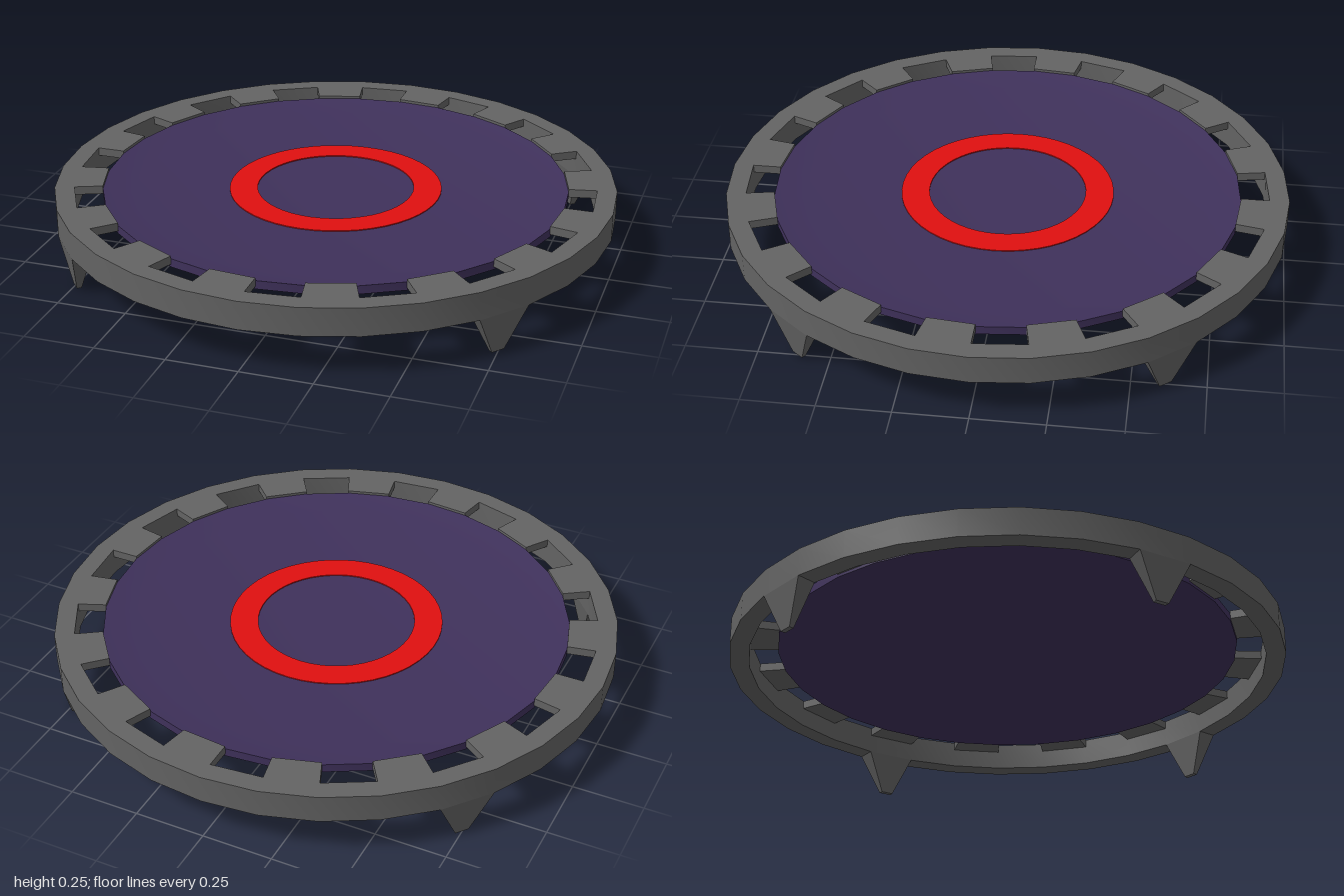
import * as THREE from 'three';
import { toCreasedNormals } from 'three/addons/utils/BufferGeometryUtils.js';

const SIDES = 32;
const STEP = (Math.PI * 2) / SIDES;
const R_MAT = 0.83, R_IN = 0.93, R_OUT = 1;
const Y_BOTTOM = 0.15, Y_TOP = 0.25;

const frameMat = new THREE.MeshStandardMaterial({ color: 0x636363 });
const purpleMat = new THREE.MeshStandardMaterial({ color: 0x3f315b });
const redMat = new THREE.MeshStandardMaterial({ color: 0xe01010 });

// Revolve an [r, y] profile, keeping hard edges sharp
function lathe(name, profile, material, sides = SIDES) {
  const points = profile.map(([r, y]) => new THREE.Vector2(r, y));
  const mesh = new THREE.Mesh(toCreasedNormals(new THREE.LatheGeometry(points, sides), 0.5), material);
  mesh.name = name;
  return mesh;
}

// Block filling one side of the ring; its lower face shrinks about its centre by `taper`
function sectorBlock(name, index, rIn, rOut, y0, y1, taper = 1) {
  const geo = new THREE.BoxGeometry(1, 1, 1);
  const pos = geo.attributes.position;
  const mid = (index + 0.5) * STEP;
  const rMid = ((rIn + rOut) / 2) * Math.cos(STEP / 2);
  const cx = rMid * Math.cos(mid), cz = rMid * Math.sin(mid);
  for (let i = 0; i < pos.count; i++) {
    const r = pos.getX(i) > 0 ? rOut : rIn;
    const a = (index + (pos.getZ(i) > 0 ? 1 : 0)) * STEP;
    const low = pos.getY(i) < 0;
    const s = low ? taper : 1;
    pos.setXYZ(i, cx + (r * Math.cos(a) - cx) * s, low ? y0 : y1, cz + (r * Math.sin(a) - cz) * s);
  }
  const flat = geo.toNonIndexed();
  flat.computeVertexNormals();
  const mesh = new THREE.Mesh(flat, frameMat);
  mesh.name = name;
  return mesh;
}

export function createModel() {
  const model = new THREE.Group();
  model.name = 'trampoline';

  // Outer frame ring
  model.add(lathe('frameRing', [
    [R_IN, Y_BOTTOM], [R_OUT, Y_BOTTOM], [R_OUT, Y_TOP], [R_IN, Y_TOP], [R_IN, Y_BOTTOM],
  ], frameMat));

  // Straps joining the mat to the frame, on every other side
  const straps = new THREE.Group();
  straps.name = 'straps';
  for (let k = 0; k < SIDES; k += 2) {
    straps.add(sectorBlock('strap', k, R_MAT, R_IN, 0.22, Y_TOP));
  }
  model.add(straps);

  // Slightly dished jumping mat
  model.add(lathe('mat', [
    [0, 0.21], [R_MAT, 0.21], [R_MAT, 0.24], [0.72, 0.22], [0, 0.217],
  ], purpleMat));

  // Target ring painted on the mat
  model.add(lathe('targetRing', [
    [0.28, 0.217], [0.38, 0.217], [0.38, 0.222], [0.28, 0.222], [0.28, 0.217],
  ], redMat, 48));

  // Four tapered feet
  const feet = new THREE.Group();
  feet.name = 'feet';
  for (const k of [3, 12, 19, 28]) {
    feet.add(sectorBlock('foot', k, R_IN, R_OUT, 0, Y_BOTTOM, 0.25));
  }
  model.add(feet);

  return model;
}
